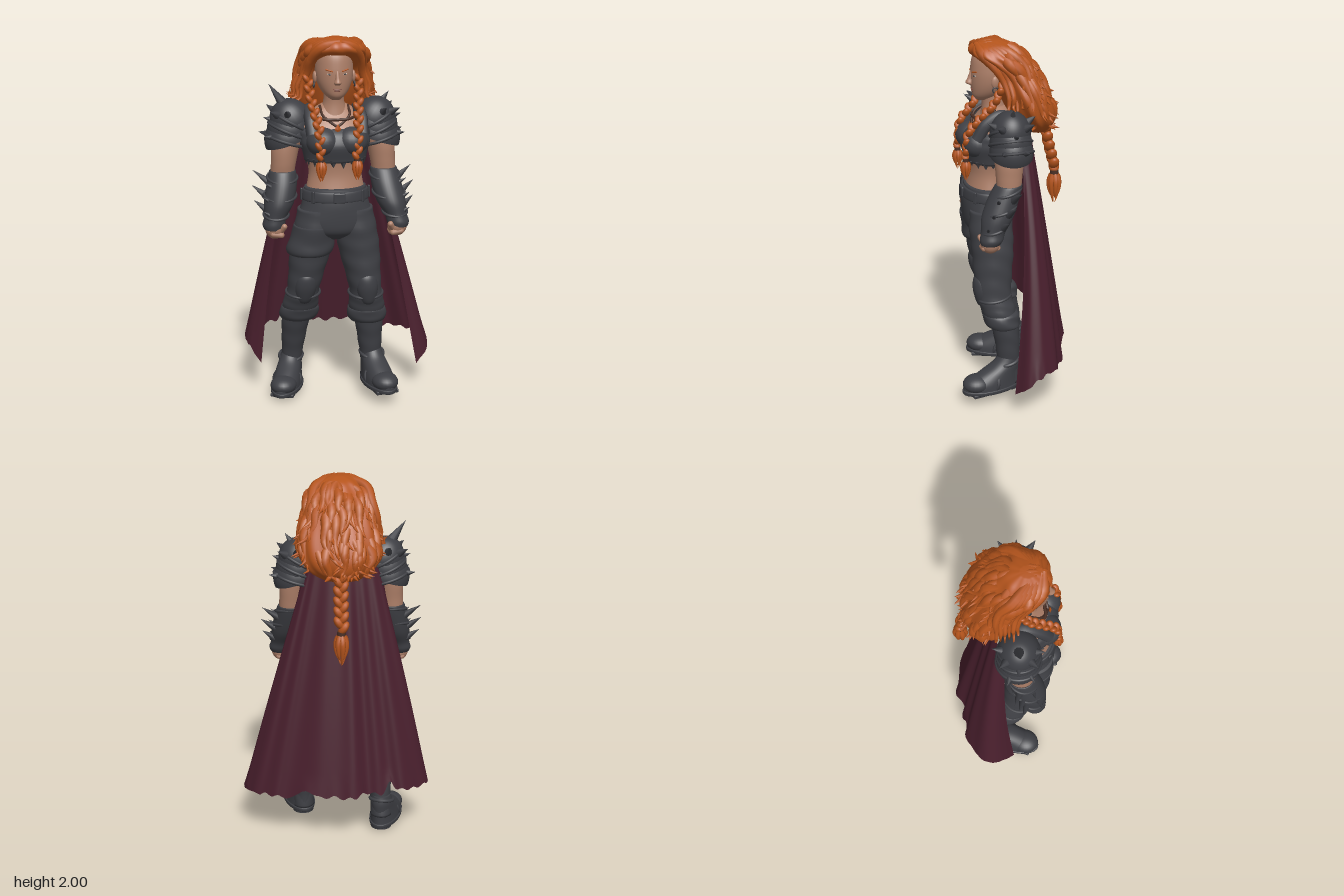
import * as THREE from 'three';
import { mergeGeometries } from 'three/addons/utils/BufferGeometryUtils.js';
import { RoundedBoxGeometry } from 'three/addons/geometries/RoundedBoxGeometry.js';

const mat = (name, color, side = THREE.FrontSide) => {
  const m = new THREE.MeshStandardMaterial({ color, side });
  m.name = name;
  return m;
};
const V = (x, y, z) => new THREE.Vector3(x, y, z);
const curve = pts => new THREE.CatmullRomCurve3(pts.map(p => V(...p)));

// Smooth sample through rings of [y, x, z, radiusX, radiusZ]
function sample(rings, u) {
  const n = rings.length, f = u * (n - 1), i = Math.min(Math.floor(f), n - 2), t = f - i;
  const at = k => rings[Math.max(0, Math.min(n - 1, k))];
  return rings[0].map((_, c) => {
    const a = at(i - 1)[c], b = at(i)[c], d = at(i + 1)[c], e = at(i + 2)[c];
    return 0.5 * (2 * b + (d - a) * t + (2 * a - 5 * b + 4 * d - e) * t * t + (3 * b - a - 3 * d + e) * t * t * t);
  });
}

// Closed skin over elliptical rings listed from top to bottom
function loft(rings, bump = () => 1, seg = 32) {
  const rows = (rings.length - 1) * 6, pos = [], idx = [];
  for (let i = 0; i <= rows; i++) {
    const [y, x, z, rx, rz] = sample(rings, i / rows);
    for (let j = 0; j < seg; j++) {
      const a = j / seg * Math.PI * 2, k = bump(a, i / rows);
      pos.push(x + Math.cos(a) * rx * k, y, z + Math.sin(a) * rz * k);
    }
  }
  const top = pos.length / 3, last = rings[rings.length - 1];
  pos.push(rings[0][1], rings[0][0], rings[0][2], last[1], last[0], last[2]);
  for (let j = 0; j < seg; j++) {
    const k = (j + 1) % seg;
    idx.push(top, k, j, top + 1, rows * seg + j, rows * seg + k);
    for (let i = 0; i < rows; i++) {
      const a = i * seg + j, b = i * seg + k;
      idx.push(a, b, a + seg, b, b + seg, a + seg);
    }
  }
  const g = new THREE.BufferGeometry();
  g.setAttribute('position', new THREE.Float32BufferAttribute(pos, 3));
  g.setIndex(idx);
  g.computeVertexNormals();
  return g;
}

// Pointed lock: a tube narrowed along its length
function lock(pts, r, n = 12, sides = 8) {
  const c = curve(pts), g = new THREE.TubeGeometry(c, n, r, sides), p = g.attributes.position, v = V(0, 0, 0);
  for (let i = 0; i < p.count; i++) {
    const t = Math.floor(i / (sides + 1)) / n, o = c.getPointAt(t);
    v.fromBufferAttribute(p, i).sub(o).multiplyScalar(Math.pow(1 - t, 0.7) * Math.min(1, 0.5 + 3 * t)).add(o);
    p.setXYZ(i, v.x, v.y, v.z);
  }
  return g;
}

export function createModel() {
  const skin = mat('skin', 0xad7f68), hairM = mat('hair', 0xb4541c), capeM = mat('cape cloth', 0x491f2d, THREE.DoubleSide);
  const cloth = mat('dark cloth', 0x404146), armour = mat('dark armour', 0x3d3e43, THREE.DoubleSide);
  const strap = mat('brown strap', 0x4a3026), lip = mat('lips', 0x8c5648), white = mat('eye white', 0xcfc6ba);
  const model = new THREE.Group(), body = new THREE.Group();
  model.name = 'caped warrior';
  body.name = 'body';
  body.position.x = -0.04;
  model.add(body);
  let seed = 11;
  const rnd = () => (seed = (seed * 16807) % 2147483647) / 2147483647;

  const add = (name, geo, m, p = [0, 0, 0], r = [0, 0, 0], s = [1, 1, 1], parent = body) => {
    const mesh = new THREE.Mesh(geo, m);
    mesh.name = name;
    mesh.position.set(...p); mesh.rotation.set(...r); mesh.scale.set(...s);
    parent.add(mesh);
    return mesh;
  };
  const ball = (name, m, p, s, r, parent) => add(name, new THREE.SphereGeometry(1, 24, 16), m, p, r, s, parent);
  const cord = (name, m, pts, r) => add(name, new THREE.TubeGeometry(curve(pts), 24, r, 8), m);
  const spike = (name, p, d, len, r) => {
    const dir = V(...d).normalize();
    const mesh = add(name, new THREE.ConeGeometry(r, len, 10), armour, V(...p).addScaledVector(dir, len / 2).toArray());
    mesh.quaternion.setFromUnitVectors(V(0, 1, 0), dir);
  };
  const fold = (n, a) => (t, u) => 1 + a * Math.sin(n * u * 6.28 + 2 * Math.sin(t) + 1.5 * Math.cos(2 * t));

  // Torso, neck and head
  add('torso', loft([[1.63, 0, 0.06, 0.06, 0.05], [1.58, 0, 0.06, 0.14, 0.08], [1.5, 0, 0.09, 0.185, 0.11], [1.4, 0, 0.11, 0.17, 0.115],
    [1.32, 0, 0.115, 0.147, 0.1], [1.25, 0, 0.115, 0.144, 0.1], [1.15, 0, 0.12, 0.165, 0.115]]), skin);
  add('neck', loft([[1.74, 0, 0.085, 0.055, 0.06], [1.64, 0, 0.075, 0.056, 0.06], [1.56, 0, 0.07, 0.09, 0.075]]), skin);
  add('head', loft([[1.95, 0, 0.07, 0.05, 0.06], [1.9, 0, 0.08, 0.09, 0.1], [1.83, 0, 0.085, 0.1, 0.11], [1.77, 0, 0.088, 0.097, 0.108],
    [1.72, 0, 0.1, 0.08, 0.092], [1.685, 0, 0.115, 0.055, 0.07], [1.662, 0, 0.13, 0.025, 0.035]]), skin);
  add('nose', loft([[1.82, 0, 0.185, 0.01, 0.012], [1.78, 0, 0.195, 0.012, 0.018], [1.757, 0, 0.202, 0.019, 0.021], [1.745, 0, 0.194, 0.014, 0.01]]), skin);
  ball('upperLip', lip, [0, 1.722, 0.188], [0.024, 0.005, 0.007]);
  ball('lowerLip', lip, [0, 1.713, 0.185], [0.02, 0.006, 0.008]);
  for (const s of [-1, 1]) {
    ball('eye', white, [s * 0.04, 1.8, 0.183], [0.015, 0.005, 0.005], [0, s * 0.4, s * 0.1]);
    ball('iris', cloth, [s * 0.039, 1.8, 0.187], [0.006, 0.005, 0.004]);
    add('eyebrow', new THREE.CapsuleGeometry(0.004, 0.034, 4, 8), hairM, [s * 0.042, 1.82, 0.185], [0, s * 0.4, Math.PI / 2 + s * 0.25]);
    ball('ear', skin, [s * 0.102, 1.775, 0.09], [0.012, 0.032, 0.02]);
    add('earring', new THREE.TorusGeometry(0.014, 0.004, 8, 16), armour, [s * 0.108, 1.735, 0.09], [0, Math.PI / 2, 0]);
  }

  // Cropped top, ragged hem, chest cords
  add('croppedTop', loft([[1.515, 0, 0.09, 0.178, 0.1], [1.49, 0, 0.1, 0.19, 0.124], [1.43, 0, 0.114, 0.185, 0.138], [1.34, 0, 0.115, 0.163, 0.118]], fold(3, 0.008)), cloth);
  for (const s of [-1, 1]) {
    ball('bust', cloth, [s * 0.075, 1.445, 0.178], [0.088, 0.078, 0.086]);
    cord('shoulderStrap', cloth, [[s * 0.13, 1.48, 0.195], [s * 0.135, 1.56, 0.145], [s * 0.13, 1.6, 0.06], [s * 0.13, 1.52, -0.02]], 0.034);
    cord('chestCord', strap, [[s * 0.075, 1.62, 0.08], [s * 0.07, 1.58, 0.155], [s * 0.035, 1.55, 0.182], [0, 1.525, 0.195]], 0.007);
    cord('crossCord', strap, [[s * 0.11, 1.57, 0.14], [s * 0.05, 1.562, 0.18], [0, 1.56, 0.175]], 0.008);
  }
  add('pendant', new THREE.OctahedronGeometry(0.022), hairM, [0, 1.515, 0.205], [0, 0, 0], [0.8, 1.3, 0.4]);
  for (let i = 0; i < 18; i++) {
    const a = i / 18 * Math.PI * 2;
    add('raggedHem', new THREE.ConeGeometry(0.028, 0.03 + 0.03 * rnd(), 5), cloth, [Math.cos(a) * 0.155, 1.335, 0.115 + Math.sin(a) * 0.111], [Math.PI, -a, 0], [0.35, 1, 1]);
  }

  // Trouser seat, belt and buckle
  add('trouserSeat', loft([[1.2, 0, 0.12, 0.162, 0.114], [1.1, 0, 0.125, 0.185, 0.125], [1.01, 0, 0.12, 0.212, 0.125], [0.95, 0, 0.118, 0.185, 0.11], [0.91, 0, 0.114, 0.08, 0.055]], fold(2, 0.01)), cloth);
  add('belt', loft([[1.185, 0, 0.12, 0.165, 0.12], [1.18, 0, 0.12, 0.177, 0.13], [1.135, 0, 0.122, 0.183, 0.133], [1.13, 0, 0.122, 0.17, 0.125]]), armour);
  add('buckle', new RoundedBoxGeometry(0.065, 0.055, 0.016, 3, 0.007), armour, [0, 1.157, 0.253]);
  for (const a of [0.75, 2.4, 3.14, 0]) add('beltLoop', new RoundedBoxGeometry(0.022, 0.066, 0.012, 2, 0.005), armour,
    [Math.cos(a) * 0.182, 1.157, 0.121 + Math.sin(a) * 0.133], [0, Math.PI / 2 - a, 0]);

  for (const s of [-1, 1]) {
    const right = s < 0, lift = right ? 0 : 0.045;
    const dz = y => right ? -0.16 * (1 - Math.min(1, y)) : 0;
    const leg = rows => rows.map(([y, x, z, a, b]) => [y, s * x, z + dz(y), a, b]);
    // Trouser leg, knee pad and rolled cuff
    add('trouserLeg', loft(leg([[1.08, 0.1, 0.12, 0.1, 0.11], [0.97, 0.113, 0.12, 0.11, 0.118], [0.85, 0.13, 0.116, 0.112, 0.114], [0.72, 0.15, 0.12, 0.098, 0.105],
      [0.6, 0.168, 0.12, 0.088, 0.096], [0.52, 0.177, 0.1, 0.098, 0.095], [0.44, 0.183, 0.08, 0.09, 0.085]]), fold(7, 0.016)), cloth);
    add('rolledCuff', loft(leg([[0.51, 0.178, 0.09, 0.08, 0.08], [0.49, 0.179, 0.09, 0.107, 0.1], [0.45, 0.183, 0.08, 0.106, 0.098], [0.42, 0.186, 0.075, 0.1, 0.09], [0.415, 0.186, 0.075, 0.07, 0.07]]), fold(2, 0.03)), cloth);
    add('kneePad', loft(leg([[0.735, 0.16, 0.18, 0.012, 0.02], [0.7, 0.16, 0.182, 0.05, 0.046], [0.65, 0.163, 0.183, 0.06, 0.052], [0.6, 0.166, 0.18, 0.055, 0.048], [0.55, 0.17, 0.168, 0.04, 0.043], [0.53, 0.17, 0.16, 0.015, 0.02]])), armour);
    add('kneeStrap', new THREE.TorusGeometry(0.092, 0.008, 8, 32), armour, [s * 0.168, 0.59, 0.12 + dz(0.59)], [Math.PI / 2 + 0.12, 0, 0]);
    if (right) add('tornThighLayer', loft(leg([[0.99, 0.112, 0.12, 0.108, 0.117], [0.9, 0.125, 0.118, 0.122, 0.124], [0.83, 0.137, 0.116, 0.124, 0.125], [0.82, 0.137, 0.116, 0.1, 0.1]]), fold(2, 0.025)), cloth);
    // Boot shaft and foot
    add('bootShaft', loft(leg([[0.47, 0.19, 0.07, 0.08, 0.075], [0.38, 0.2, 0.06, 0.075, 0.072], [0.28, 0.207, 0.052, 0.066, 0.066], [0.18, 0.213, 0.05, 0.057, 0.059], [0.08, 0.215, 0.05, 0.059, 0.063]]), fold(4, 0.015)), armour);
    const foot = new THREE.Group();
    foot.name = 'foot';
    foot.position.set(s * 0.217, lift, 0.05 + dz(0.1));
    foot.rotation.y = right ? -0.36 : 0.2;
    body.add(foot);
    add('bootFoot', loft([[0.2, 0, 0.0, 0.05, 0.055], [0.155, 0, 0.015, 0.06, 0.08], [0.11, 0, 0.06, 0.068, 0.122], [0.065, 0, 0.1, 0.076, 0.162], [0.03, 0, 0.105, 0.08, 0.168]]), armour, undefined, undefined, undefined, foot);
    ball('toeCap', armour, [0, 0.06, 0.195], [0.072, 0.05, 0.08], undefined, foot);
    add('sole', loft([[0.034, 0, 0.105, 0.078, 0.166], [0.03, 0, 0.105, 0.085, 0.174], [0.012, 0, 0.105, 0.083, 0.172], [0.01, 0, 0.105, 0.07, 0.16]]), armour, undefined, undefined, undefined, foot);
    add('heel', new THREE.CylinderGeometry(0.06, 0.058, 0.03, 24), armour, [0, 0.015, 0], undefined, undefined, foot);
    add('forefootTread', new RoundedBoxGeometry(0.13, 0.02, 0.13, 2, 0.006), armour, [0, 0.01, 0.175], undefined, undefined, foot);
    add('ankleStrap', new THREE.TorusGeometry(0.064, 0.01, 8, 28), armour, [0, 0.165, 0.006], [Math.PI / 2 + 0.25, 0, 0], undefined, foot);
    add('instepStrap', new THREE.TorusGeometry(0.076, 0.01, 8, 28), armour, [0, 0.057, 0.1], [-0.3, 0, 0], [1, 0.85, 1], foot);

    // Arm, bracer and fist; the right forearm hangs further back
    const back = y => right ? -0.045 * Math.max(0, Math.min(1, (1.3 - y) / 0.3)) : 0;
    const arm = rows => rows.map(([y, x, z, a, b]) => [y, s * x, z + back(y), a, b]);
    add('upperArm', loft(arm([[1.57, 0.19, 0.04, 0.06, 0.06], [1.49, 0.23, 0.05, 0.075, 0.075], [1.4, 0.257, 0.057, 0.074, 0.076], [1.32, 0.268, 0.06, 0.067, 0.07], [1.25, 0.275, 0.065, 0.062, 0.064], [1.18, 0.283, 0.09, 0.055, 0.06]])), skin);
    add('bracer', loft(arm([[1.275, 0.274, 0.062, 0.062, 0.06], [1.27, 0.274, 0.064, 0.072, 0.072], [1.2, 0.282, 0.095, 0.081, 0.083], [1.11, 0.301, 0.132, 0.079, 0.084], [1.04, 0.322, 0.16, 0.06, 0.065], [1, 0.332, 0.172, 0.06, 0.062], [0.975, 0.334, 0.178, 0.05, 0.053]])), armour);
    for (const [y, x, z, r] of [[1.24, 0.277, 0.078, 0.079], [1.15, 0.292, 0.115, 0.085], [1.05, 0.318, 0.156, 0.065]])
      add('bracerBand', new THREE.TorusGeometry(r, 0.008, 8, 32), armour, [s * x, y, z + back(y)], [Math.PI / 2 + 0.25, 0, 0]);
    for (const [y, x, z, l] of [[1.21, 0.345, 0.06, 0.11], [1.14, 0.362, 0.09, 0.1], [1.07, 0.365, 0.12, 0.085]]) {
      spike('bracerSpike', [s * x, y, z + back(y)], [s * 0.8, 0.6, -0.25], l, 0.022);
      spike('bracerSpikeFront', [s * (x - 0.02), y - 0.02, z + 0.07 + back(y)], [s * 0.75, 0.5, 0.2], l * 0.65, 0.018);
    }
    const fz = back(0.95);
    ball('fist', skin, [s * 0.327, 0.975, 0.178 + fz], [0.052, 0.054, 0.053]);
    for (let i = 0; i < 4; i++) add('finger', new THREE.CapsuleGeometry(0.016, 0.045, 4, 10), skin, [s * 0.319, 0.943 + 0.004 * Math.abs(i - 1), 0.143 + i * 0.024 + fz], [0, 0, Math.PI / 2 + s * 0.15]);
    add('thumb', new THREE.CapsuleGeometry(0.016, 0.05, 4, 10), skin, [s * 0.294, 0.976, 0.21 + fz], [0.5, 0, s * 0.5]);

    // Layered shoulder guard with spikes
    for (let k = 2; k >= 0; k--) {
      const p = [s * (0.222 + 0.012 * k), 1.535 - 0.05 * k, 0.042], tilt = s * (0.5 - 0.1 * k), w = 0.112 + 0.004 * k;
      add('shoulderPlate', new THREE.SphereGeometry(1, 32, 14, 0, Math.PI * 2, 0, 1.65), armour, p, [0, 0, -tilt], [w, 0.125, w - 0.006]);
      add('shoulderPlateRim', new THREE.TorusGeometry(1, 0.07, 8, 40), armour, p, [Math.PI / 2, tilt, 0], [w, w - 0.006, 0.12]);
    }
    spike('shoulderSpike', [s * 0.25, 1.61, 0.04], [s * 0.6, 0.85, 0.05], right ? 0.16 : 0.09, right ? 0.035 : 0.028);
    for (const [x, y, z, dx, dy, d] of [[0.3, 1.58, 0.1, 0.7, 0.4, 0.6], [0.3, 1.58, -0.02, 0.7, 0.5, -0.6], [0.31, 1.54, 0.04, 1, 0.35, 0], [0.25, 1.58, 0.12, 0.2, 0.5, 0.8],
      [0.24, 1.59, -0.04, 0.1, 0.6, -0.8], [0.32, 1.46, 0.09, 0.9, 0.2, 0.5], [0.33, 1.46, 0, 1, 0.2, -0.3]])
      spike('shoulderSpike', [s * x, y, z], [s * dx, dy, d], 0.065, 0.024);
  }

  // Cape: a cloth strip spread between shoulder line and hem, its free edges bowing outward
  const collar = curve([[-0.255, 1.455, -0.025], [-0.21, 1.525, -0.07], [-0.04, 1.545, -0.105], [0.13, 1.525, -0.07], [0.175, 1.455, -0.025]]);
  const hem = curve([[-0.44, 0.17, 0.02], [-0.5, 0.25, -0.06], [-0.51, 0.29, -0.14], [-0.42, 0.3, -0.235], [-0.3, 0.3, -0.265], [-0.17, 0.29, -0.28], [-0.05, 0.29, -0.318],
    [0.1, 0.28, -0.285], [0.3, 0.26, -0.22], [0.42, 0.26, -0.165], [0.5, 0.26, -0.07], [0.505, 0.2, 0.02], [0.43, 0.13, 0.08]]);
  const capeG = new THREE.PlaneGeometry(1, 1, 140, 36), cp = capeG.attributes.position;
  for (let i = 0; i < cp.count; i++) {
    const u = capeG.attributes.uv.getX(i), v = 1 - capeG.attributes.uv.getY(i);
    const p = collar.getPoint(u).lerp(hem.getPoint(u), v), mid = Math.sin(Math.PI * u), bow = Math.sin(Math.PI * v) * (1 - mid);
    p.x += Math.sign(u - 0.5) * 0.012 * bow;
    p.z += mid * 0.011 * Math.sqrt(v) * Math.sin(u * 62 + Math.sin(u * 17)) - 0.025 * bow;
    p.y += Math.max(0, v - 0.9) * 10 * mid * (0.007 * Math.sin(u * 47) + 0.01 * Math.sin(u * 131) + 0.06 * Math.pow(Math.max(0, Math.sin(u * 23)), 14));
    cp.setXYZ(i, p.x, p.y, p.z);
  }
  capeG.computeVertexNormals();
  add('cape', capeG, capeM, undefined, undefined, undefined, model);

  // Hair mass with strand ridges
  const hairRings = [[1.982, 0.01, 0.085, 0.03, 0.035], [1.962, 0.012, 0.085, 0.1, 0.098], [1.92, 0.015, 0.072, 0.15, 0.13], [1.87, 0.02, 0.018, 0.17, 0.132], [1.8, 0.022, -0.035, 0.183, 0.122],
    [1.7, 0.03, -0.078, 0.212, 0.128], [1.6, 0.026, -0.118, 0.208, 0.122], [1.53, 0.02, -0.142, 0.165, 0.094], [1.48, 0.01, -0.15, 0.09, 0.05]];
  add('hairMass', loft(hairRings, (a, u) => 1 + 0.025 * Math.sin(a * 11 + u * 7) + 0.02 * Math.sin(a * 5 - u * 9), 96), hairM);
  const hp = (u, a, push) => {
    const [y, x, z, rx, rz] = sample(hairRings, Math.min(u, 0.97));
    return [x + Math.cos(a) * (rx + push), y, z + Math.sin(a) * (rz + push)];
  };
  // Wavy locks hugging the mass, with tips curling away
  const locks = [];
  for (let i = 0; i < 120; i++) {
    const a = rnd() * Math.PI * 2, u = 0.14 + rnd() * 0.55, w = (rnd() - 0.5) * 0.7, out = 0.01 + (0.02 + 0.03 * rnd()) * Math.min(1, u * 1.6);
    if (Math.sin(a) > 0.25) continue;
    locks.push(lock([hp(u, a, -0.025), hp(u + 0.09, a + w * 0.5, -0.006), hp(u + 0.18, a + w * 0.4, -0.012), hp(u + 0.25, a + w, 0), hp(u + 0.275, a + w * 1.4, out)], 0.025 + 0.014 * rnd(), 14));
  }
  // Fringe swept back from the parting, waving out past the ears
  for (const s of [-1, 1]) for (let j = 0; j < 6; j++) {
    const wave = 0.018 * Math.sin(j * 2.3), o = s > 0 ? 0.015 : 0;
    locks.push(lock([[0.02 + s * 0.008 * j, 1.96, 0.165 - 0.012 * j], [s * (0.078 + 0.01 * j) + o, 1.93, 0.155 - 0.028 * j], [s * (0.122 + 0.006 * j) + o, 1.865, 0.1 - 0.03 * j],
      [s * (0.138 + 0.008 * j) + o, 1.79, 0.055 - 0.025 * j], [s * (0.165 + 0.008 * j + wave) + o, 1.71, 0.035 - 0.02 * j], [s * (0.175 + 0.008 * j) + o, 1.65 + wave, 0.04 - 0.022 * j],
      [s * (0.23 + wave) + o, 1.635 + 0.012 * j, 0.04 - 0.022 * j]], 0.034, 22));
  }
  // Strands combed back over the crown
  for (let i = -3; i <= 3; i++) {
    const y = 1.965 - 0.003 * i * i;
    locks.push(lock([[0.02 + i * 0.012, y - 0.025, 0.178], [0.015 + i * 0.028, y, 0.1], [0.015 + i * 0.04, y - 0.025, 0.02], [0.02 + i * 0.048, y - 0.085, -0.06], [0.02 + i * 0.055, y - 0.13, -0.12]], 0.026, 16));
  }
  add('hairLocks', mergeGeometries(locks), hairM);

  // Braids: alternating plaits, a tie and a pointed tuft
  const braid = (pts, n, r, len) => {
    const c = curve(pts), end = c.getPointAt(1), g = [];
    for (let i = 0; i < n; i++) {
      const p = c.getPointAt(i / (n - 1)), k = i % 2 ? 1 : -1;
      g.push(new THREE.SphereGeometry(1, 12, 10).scale(r * 0.75, r * 1.35, r).rotateZ(-k * 0.6).translate(p.x + k * r * 0.4, p.y, p.z));
    }
    add('braid', mergeGeometries(g), hairM);
    add('braidTie', new THREE.CylinderGeometry(r * 0.8, r * 0.8, 0.025, 16), strap, [end.x, end.y - r, end.z]);
    const t = [];
    for (let i = 0; i < 7; i++) {
      const a = i * 0.9, q = (y, d) => [end.x + Math.cos(a) * d, end.y - r - y, end.z + Math.sin(a) * d];
      t.push(lock([q(0, r * 0.2), q(len * 0.3, r * 0.9), q(len * 0.65, r * 0.75), q(len * (0.85 + 0.15 * (i % 2)), r * 0.2)], r * 0.7));
    }
    add('braidTuft', mergeGeometries(t), hairM);
  };
  for (const s of [-1, 1]) braid([[s * 0.135, 1.76, 0.06], [s * 0.128, 1.67, 0.1], [s * 0.115, 1.59, 0.17], [s * 0.103, 1.51, 0.235], [s * 0.095, 1.38, 0.25]], 17, 0.021, 0.11);
  braid([[0.02, 1.56, -0.2], [0.022, 1.42, -0.22], [0.022, 1.25, -0.262]], 13, 0.03, 0.18);
  return model;
}
